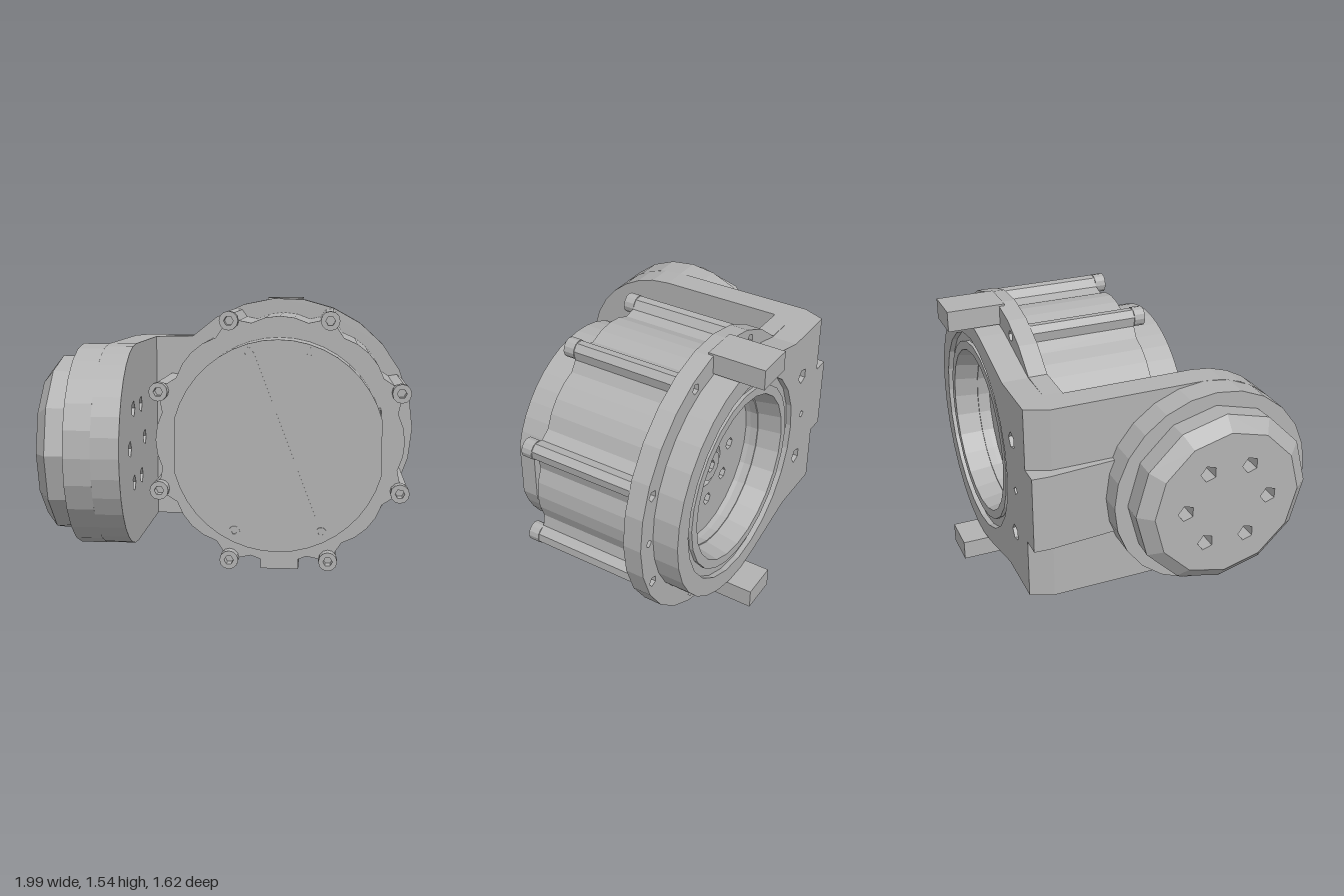
import * as THREE from 'three';

const CX = 0.22, CY = 0.77;      // motor axis (along z)
const PZ = 0.265;                // side pivot axis (along x)
const rad = THREE.MathUtils.degToRad;
const polar = (r, deg, cx = CX, cy = CY) => [cx + r * Math.cos(rad(deg)), cy + r * Math.sin(rad(deg))];
const vec = (pts) => pts.map(([x, y]) => new THREE.Vector2(x, y));

// Points along an arc, counter-clockwise
function arc(r, from, to, n, cx = CX, cy = CY) {
  return Array.from({ length: n + 1 }, (_, i) => polar(r, from + (to - from) * i / n, cx, cy));
}
const ngon = (r, n, cx = CX, cy = CY) => arc(r, 0, 360 - 360 / n, n - 1, cx, cy);

function outline(pts, holes = []) {
  const shape = new THREE.Shape(vec(pts));
  for (const h of holes) shape.holes.push(new THREE.Path(vec(h)));
  return shape;
}

// Extrusion along z from z0 to z1
function slab(shape, z0, z1) {
  return new THREE.ExtrudeGeometry(shape, { depth: z1 - z0, bevelEnabled: false }).translate(0, 0, z0);
}
// Extrusion along x; the shape is drawn in (-z, y)
const slabX = (shape, x0, x1) => slab(shape, x0, x1).rotateY(Math.PI / 2);
// Extrusion along y; the shape is drawn in (x, -z)
const slabY = (shape, y0, y1) => slab(shape, y0, y1).rotateX(-Math.PI / 2);

// Faceted lathe around y
function lathe(pts, n) {
  const g = new THREE.LatheGeometry(vec(pts), n).toNonIndexed();
  g.computeVertexNormals();
  return g;
}

export function createModel() {
  const model = new THREE.Group();
  const grey = new THREE.MeshStandardMaterial({ color: 0xb2b2b2, side: THREE.DoubleSide });
  grey.name = 'machined grey';
  const add = (name, geometry) => {
    const mesh = new THREE.Mesh(geometry, grey);
    mesh.name = name;
    model.add(mesh);
    return mesh;
  };
  const box = (name, x0, x1, y0, y1, z0, z1) =>
    add(name, new THREE.BoxGeometry(x1 - x0, y1 - y0, z1 - z0)
      .translate((x0 + x1) / 2, (y0 + y1) / 2, (z0 + z1) / 2));

  const boltAngles = Array.from({ length: 8 }, (_, k) => 22.5 + 45 * k);

  // Motor housing with eight bolt ribs
  const ribs = [];
  for (const a of boltAngles) {
    for (const [d, r] of [[-9, 0.665], [-4.2, 0.695], [-3, 0.745], [0, 0.765], [3, 0.745],
      [4.2, 0.695], [9, 0.665], [15.75, 0.68], [22.5, 0.685], [29.25, 0.68]]) ribs.push(polar(r, a + d));
  }
  add('motorHousing', slab(outline(ribs), -0.43, 0.15));
  box('housingFoot', 0.12, 0.33, 0.05, 0.13, -0.43, 0.15);

  // Front cap with flat sides and a connector pocket on its left
  const side = Math.acos(0.55 / 0.57) * 180 / Math.PI;
  const right = arc(0.57, side, 180 - side, 18);
  const left = arc(0.57, 180 + side, 360 - side, 18);
  const pocket = [[0.77, 0.6], [0.69, 0.6], [0.69, 0.96], [0.77, 0.96]];
  add('capBody', slab(outline([...right, ...left, ...pocket]), 0.15, 0.27));
  add('capLid', slab(outline([...right, ...left]), 0.27, 0.36));
  box('connector', 0.68, 0.75, 0.68, 0.88, 0.15, 0.25);
  add('lidScore', slab(outline([[0.04, 1.26], [0.445, 0.34], [0.09, 1.28]]), 0.355, 0.363));

  // Hex socket screws
  const screw = (name, x, y, r, z0, z1) =>
    add(name, slab(outline(ngon(r, 12, x, y), [ngon(r * 0.5, 6, x, y)]), z0, z1));
  for (const a of boltAngles) screw('housingBolt', ...polar(0.715, a), 0.052, 0.15, 0.21);
  for (const [x, y] of [[0.06, 1.27], [0.385, 1.27], [-0.01, 0.31], [0.455, 0.31]])
    screw('lidScrew', x, y, 0.03, 0.355, 0.366);

  // Flange and arm plate, stepped towards the back
  const holes = [0, 180].map((a) => ngon(0.024, 4, ...polar(0.695, a)));
  for (const a of boltAngles) holes.push(ngon(0.03, 5, ...polar(0.715, a)));
  const armHoles = [ngon(0.024, 4, ...polar(0.695, 180))];
  for (const a of [157.5, 202.5]) armHoles.push(ngon(0.045, 5, ...polar(0.715, a)));
  const armEnd = [[-0.53, 1.31], [-0.53, 0.23]];
  const wide = [...arc(0.77, -135, 135, 20), ...armEnd];
  const narrow = [...arc(0.66, -105, 105, 18), [-0.32, 1.31], ...armEnd, [-0.32, 0.23]];
  add('flange', slab(outline(wide, [ngon(0.43, 24), ...holes]), -0.53, -0.43));
  add('backPlate', slab(outline(narrow, [ngon(0.5, 24), ...armHoles]), -0.64, -0.53));
  add('backRim', slab(outline(narrow, [ngon(0.56, 24), ...armHoles]), -0.67, -0.64));

  // Bearing liner, output disc and hub inside the bore
  add('bearingLiner', lathe([[0.51, -0.62], [0.51, -0.66], [0.46, -0.66], [0.42, -0.43]], 24)
    .rotateX(Math.PI / 2).translate(CX, CY, 0));
  const discHoles = Array.from({ length: 8 }, (_, k) => ngon(0.035, 6, ...polar(0.23, 45 * k)));
  add('outputDisc', slab(outline(ngon(0.435, 24), [ngon(0.13, 12), ...discHoles]), -0.46, -0.43));
  add('hub', slab(outline(ngon(0.085, 10), [ngon(0.035, 6)]), -0.48, -0.43));

  // Top and bottom rear tabs
  for (const y of [0, 1.43]) box('rearTab', 0.12, 0.33, y, y + 0.11, -0.81, -0.5);

  // Chamfered corner of the arm, with a square block at mid height
  add('armCorner', slabY(outline([[-0.53, 0.67], [-0.64, 0.67], [-0.69, 0.55], [-0.69, 0.5],
    [-0.545, 0.43], [-0.53, 0.43]]), 0.23, 1.31));
  add('armBlock', slabY(outline([[-0.6, 0.67], [-0.74, 0.67], [-0.745, 0.58], [-0.715, 0.2],
    [-0.65, 0.2]]), 0.56, 0.98));

  // Side arm and pivot disc with six through holes
  const pivotHoles = Array.from({ length: 6 }, (_, k) => ngon(0.045, 5, ...polar(0.23, 60 * k, -PZ, CY)));
  const armSide = [...arc(0.54, 90, 270, 16, -PZ, CY), [0.55, 0.23], [0.55, 1.31]];
  add('sideArm', slabX(outline(armSide, pivotHoles), -0.69, -0.545));
  add('pivotDisc', slabX(outline(ngon(0.54, 24, -PZ, CY), pivotHoles), -0.83, -0.69));
  add('pivotCapFace', slabX(outline(ngon(0.4, 12, -PZ, CY), pivotHoles), -1, -0.83));
  add('pivotCapRim', lathe([[0.47, 0.83], [0.475, 0.94], [0.4, 1]], 12)
    .rotateY(Math.PI / 2).rotateZ(Math.PI / 2).translate(0, CY, PZ));

  return model;
}
